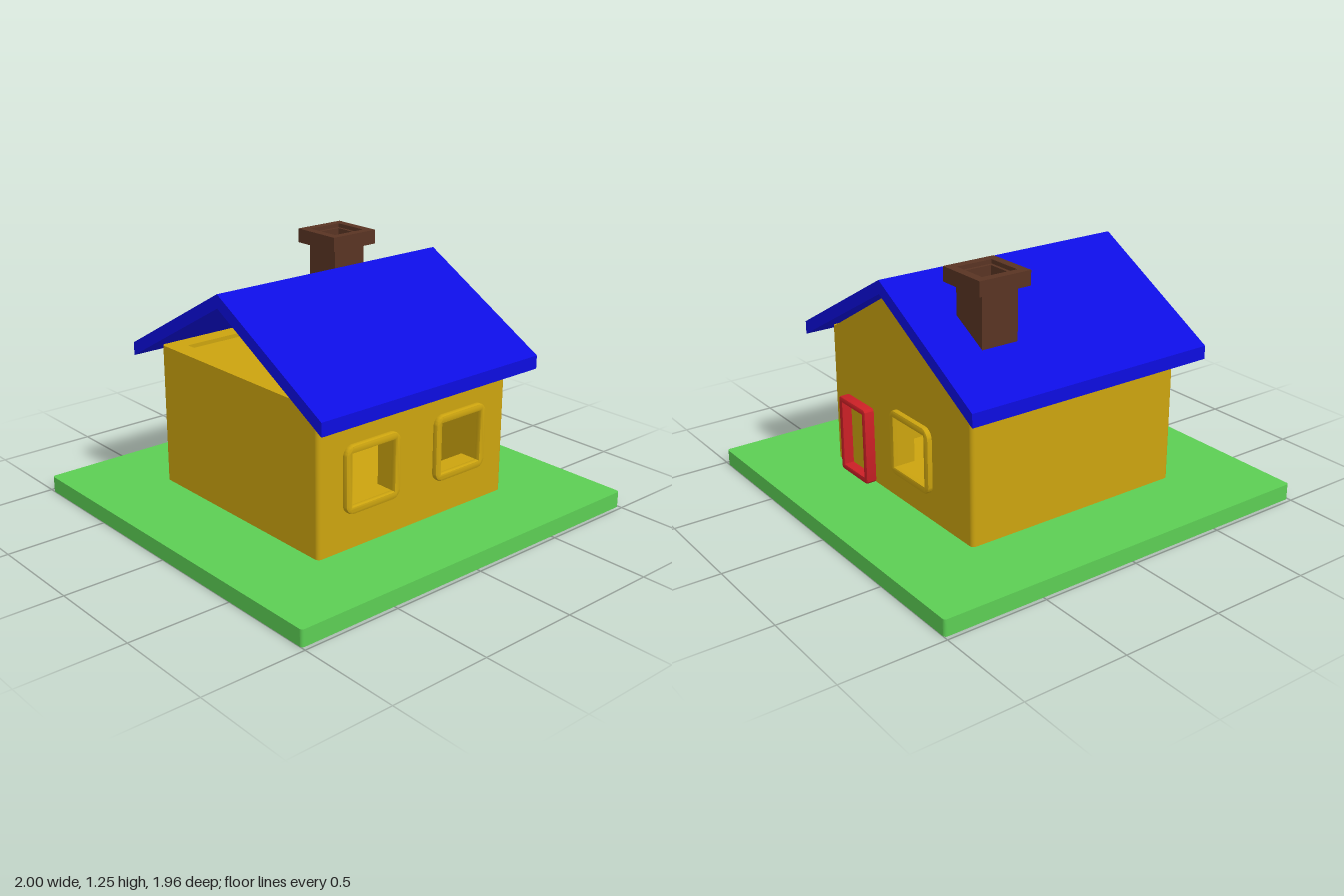
import * as THREE from 'three';
import { toCreasedNormals } from 'three/addons/utils/BufferGeometryUtils.js';

const paint = (name, color) => {
  const m = new THREE.MeshStandardMaterial({ color });
  m.name = name;
  return m;
};

// rounded rectangle outline centred on (cx, cy)
function rect(cx, cy, w, h, r = 0, Type = THREE.Shape) {
  const s = new Type(), a = w / 2, b = h / 2;
  if (!r) {
    return s.setFromPoints([[-a, -b], [a, -b], [a, b], [-a, b]].map(([x, y]) => new THREE.Vector2(cx + x, cy + y)));
  }
  s.absarc(cx + a - r, cy - b + r, r, -Math.PI / 2, 0);
  s.absarc(cx + a - r, cy + b - r, r, 0, Math.PI / 2);
  s.absarc(cx - a + r, cy + b - r, r, Math.PI / 2, Math.PI);
  s.absarc(cx - a + r, cy - b + r, r, Math.PI, Math.PI * 1.5);
  s.closePath();
  return s;
}

const polygon = pts => new THREE.Shape(pts.map(([x, y]) => new THREE.Vector2(x, y)));

const extrude = (shape, depth, bevel = 0) => new THREE.ExtrudeGeometry(shape, {
  depth: depth - 2 * bevel, curveSegments: 6, bevelEnabled: bevel > 0,
  bevelSize: bevel, bevelThickness: bevel, bevelOffset: -bevel, bevelSegments: 2,
}).translate(0, 0, bevel);

export function createModel() {
  const group = new THREE.Group();
  const grass = paint('grass green', 0x5cce54);
  const gold = paint('wall gold', 0xcca40f);
  const blue = paint('roof blue', 0x0d0de0);
  const red = paint('door red', 0xcc2026);
  const brown = paint('chimney brown', 0x593423);

  const add = (name, geometry, material, x = 0, y = 0, z = 0, ry = 0) => {
    const mesh = new THREE.Mesh(geometry, material);
    mesh.name = name;
    mesh.position.set(x, y, z);
    mesh.rotation.y = ry;
    group.add(mesh);
    return mesh;
  };

  // lawn slab
  add('lawn', extrude(rect(0, 0, 2, 1.96, 0.015), 0.08).rotateX(-Math.PI / 2), grass);

  // walls: hollow box with rounded corners and a gable on one side only
  const half = 0.58, r = 0.02, t = 0.09, base = 0.08, eave = 0.78, side = half - r;
  const wall = (holes = [], peak = eave) => {
    const s = polygon([[-side, base], [side, base], [side, eave], [0, peak], [-side, eave]]);
    for (const [x, y] of holes) s.holes.push(rect(x, y, 0.25, 0.25, 0, THREE.Path));
    return extrude(s, t);
  };
  const frontWindows = [[-0.275, 0.415], [0.27, 0.415]];
  const sideWindow = [0.112, 0.37];
  add('frontWall', wall(frontWindows), gold, 0, 0, half - t);
  add('backWall', wall(), gold, 0, 0, t - half, Math.PI);
  add('gableWall', wall([sideWindow], 1.105), gold, half - t, 0, 0, Math.PI / 2);
  add('plainSideWall', wall(), gold, t - half, 0, 0, -Math.PI / 2);
  for (const x of [-side, side]) {
    for (const z of [-side, side]) {
      add('wallCorner', new THREE.CylinderGeometry(r, r, eave - base, 16), gold, x, (eave + base) / 2, z);
    }
  }
  add('floor', new THREE.BoxGeometry(1.1, 0.02, 1.1), gold, 0, 0.09, 0);
  add('ceiling', new THREE.BoxGeometry(1.02, 0.02, 1.02), gold, 0, 0.75, 0);

  // window frames with soft edges
  const frame = (w, h, border, depth, corner, bevel) => {
    const s = rect(0, 0, w, h, corner);
    s.holes.push(rect(0, 0, w - 2 * border, h - 2 * border, 0, THREE.Path));
    return toCreasedNormals(extrude(s, depth, bevel), 0.6);
  };
  const windowFrame = frame(0.325, 0.325, 0.0375, 0.035, 0.05, 0.01);
  for (const [x, y] of frontWindows) add('frontWindowFrame', windowFrame, gold, x, y, half - 0.01);
  add('sideWindowFrame', windowFrame, gold, half - 0.01, sideWindow[1], -sideWindow[0], Math.PI / 2);

  // door frame standing just off the gable wall
  add('doorFrame', frame(0.24, 0.385, 0.03, 0.055, 0.018, 0.008), red, 0.588, 0.28, 0.32, Math.PI / 2);

  // bent roof slab
  const roof = polygon([[-0.7, 0.715], [0, 1.105], [0.7, 0.715], [0.7, 0.78], [0, 1.17], [-0.7, 0.78]]);
  add('roof', extrude(roof, 1.32), blue, -0.66, 0, 0, Math.PI / 2);

  // chimney: square tubes, the stack cut at its foot to follow the roof slope
  const tube = (outer, inner, height) => {
    const s = rect(0, 0, outer, outer);
    s.holes.push(rect(0, 0, inner, inner, 0, THREE.Path));
    return extrude(s, height).rotateX(-Math.PI / 2);
  };
  const cx = 0.328, cz = -0.347, foot = 0.95;
  const stack = tube(0.19, 0.155, 1.23 - foot);
  const p = stack.attributes.position;
  for (let i = 0; i < p.count; i++) {
    if (p.getY(i) < 0.01) p.setY(i, p.getZ(i) * 0.557);
  }
  stack.computeVertexNormals();
  add('chimneyStack', stack, brown, cx, foot, cz);
  add('chimneyCap', tube(0.27, 0.185, 0.07), brown, cx, 1.18, cz);
  return group;
}
